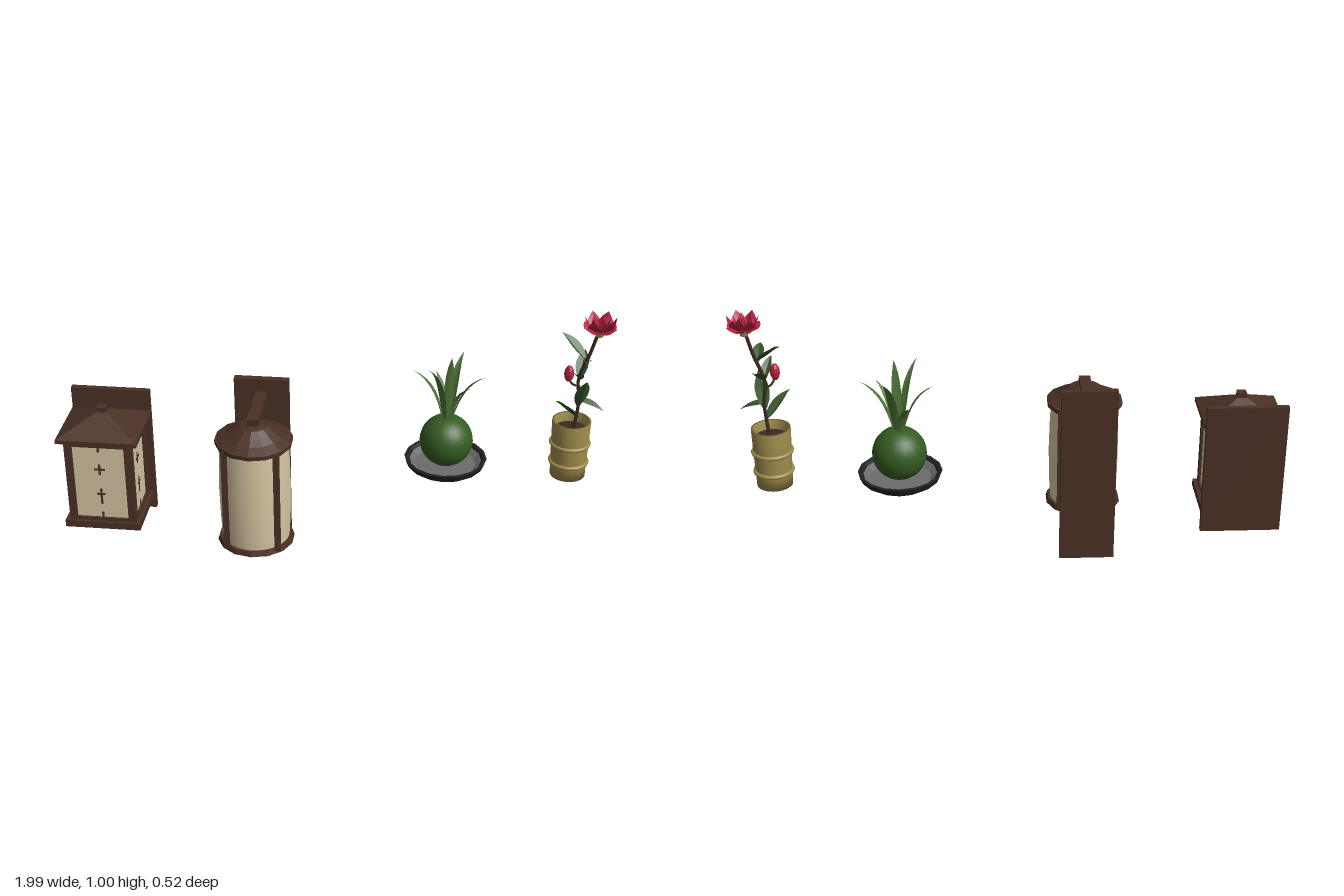
import * as THREE from 'three';

const mat = (name, color, extra = {}) => new THREE.MeshStandardMaterial({ name, color, ...extra });
const D = { side: THREE.DoubleSide };
const F = { flatShading: true };
const M = {
  wood: mat('dark wood', 0x4a3025, F),
  paper: mat('cream paper', 0xd6c6a3),
  black: mat('black glaze', 0x202122, F),
  grey: mat('grey stone', 0x6c6c6c, F),
  moss: mat('moss green', 0x335c20),
  blade: mat('blade green', 0x4c7236, D),
  leaf: mat('leaf green', 0x34562a, { ...D, ...F }),
  bamboo: mat('bamboo tan', 0xa08c4c),
  petal: mat('crimson', 0xb52040, { ...D, ...F }),
  bark: mat('bark brown', 0x3a2a22),
};
const V = (x, y, z) => new THREE.Vector3(x, y, z);

function add(parent, name, geo, material, x = 0, y = 0, z = 0) {
  const m = new THREE.Mesh(geo, material);
  m.name = name;
  m.position.set(x, y, z);
  parent.add(m);
  return m;
}
function group(parent, name, x = 0, z = 0) {
  const g = new THREE.Group();
  g.name = name;
  g.position.set(x, 0, z);
  parent.add(g);
  return g;
}
// box given by its min and max corners
function box(parent, name, material, x0, x1, y0, y1, z0, z1) {
  return add(parent, name, new THREE.BoxGeometry(x1 - x0, y1 - y0, z1 - z0), material,
    (x0 + x1) / 2, (y0 + y1) / 2, (z0 + z1) / 2);
}
const lathe = (pts, n) => new THREE.LatheGeometry(pts.map(p => new THREE.Vector2(...p)), n);

// folded leaf swept along a curve from base to tip
function leaf(parent, name, material, base, ctrl, tip, width, fold = 0.25, peak = 0.8) {
  const curve = new THREE.QuadraticBezierCurve3(base, ctrl, tip);
  const flat = V(tip.x - base.x, 0, tip.z - base.z).normalize();
  const side = V(-flat.z, 0, flat.x);
  const n = 7, pos = [], idx = [];
  for (let i = 0; i <= n; i++) {
    const t = i / n, c = curve.getPoint(t);
    const w = width * Math.max(0.02, Math.sin(Math.PI * Math.pow(0.06 + 0.94 * t, peak)));
    const normal = V().crossVectors(curve.getTangent(t), side).normalize();
    for (const s of [-1, 0, 1]) {
      const p = c.clone().addScaledVector(side, s * w / 2);
      if (s === 0) p.addScaledVector(normal, w * fold);
      pos.push(p.x, p.y, p.z);
    }
    if (i < n) for (const k of [0, 1]) {
      const a = i * 3 + k;
      idx.push(a, a + 1, a + 3, a + 1, a + 4, a + 3);
    }
  }
  const g = new THREE.BufferGeometry();
  g.setAttribute('position', new THREE.Float32BufferAttribute(pos, 3));
  g.setIndex(idx);
  g.computeVertexNormals();
  return add(parent, name, g, material);
}

function squareLantern(root) {
  const g = group(root, 'squareLantern', -0.848, 0.04);
  box(g, 'backPlate', M.wood, -0.149, 0.149, 0.105, 0.615, -0.147, -0.125);
  // paper box and corner frame
  box(g, 'paperPanels', M.paper, -0.118, 0.118, 0.17, 0.51, -0.125, 0.102);
  for (const s of [-1, 1]) {
    for (const [z0, z1] of [[-0.125, -0.09], [0.08, 0.11]])
      box(g, 'cornerPost', M.wood, Math.min(s * 0.097, s * 0.126), Math.max(s * 0.097, s * 0.126), 0.17, 0.52, z0, z1);
  }
  box(g, 'topBeam', M.wood, -0.126, 0.126, 0.495, 0.52, -0.125, 0.11);
  box(g, 'bottomBeam', M.wood, -0.126, 0.126, 0.17, 0.195, -0.125, 0.11);
  box(g, 'base', M.wood, -0.142, 0.142, 0.155, 0.182, -0.125, 0.122);
  // small lattice marks on the front and both sides
  for (const turn of [-1, 0, 1]) {
    const marks = group(g, 'latticeMarks');
    marks.rotation.y = turn * Math.PI / 2;
    const d = turn ? 0.118 : 0.102;
    for (const [y, h] of [[0.485, 0.022], [0.4, 0.045], [0.285, 0.065], [0.205, 0.025]])
      box(marks, 'uprightMark', M.wood, -0.004, 0.004, y - h / 2, y + h / 2, d - 0.002, d + 0.002);
    for (const [y, w] of [[0.4, 0.04], [0.295, 0.03]])
      box(marks, 'crossMark', M.wood, -w / 2, w / 2, y - 0.004, y + 0.004, d - 0.002, d + 0.002);
  }
  // hipped roof with eaves and finial
  box(g, 'eaves', M.wood, -0.15, 0.15, 0.515, 0.53, -0.13, 0.13);
  const roof = new THREE.CylinderGeometry(0.018 * Math.SQRT2, 0.15 * Math.SQRT2, 0.064, 4);
  roof.rotateY(Math.PI / 4).scale(1, 1, 0.13 / 0.15);
  add(g, 'roof', roof, M.wood, 0, 0.562, 0);
  box(g, 'finial', M.wood, -0.017, 0.017, 0.58, 0.612, -0.017, 0.017);
}

function roundLantern(root) {
  const g = group(root, 'roundLantern', -0.274, 0.118);
  box(g, 'backPlate', M.wood, -0.102, 0.102, 0, 0.69, -0.225, -0.198);
  box(g, 'arm', M.wood, -0.021, 0.021, 0.608, 0.641, -0.2, 0.025);
  add(g, 'paperShade', lathe([[0.124, 0.14], [0.129, 0.22], [0.132, 0.35], [0.129, 0.47], [0.125, 0.55]], 32), M.paper);
  for (const sx of [-1, 1]) for (const sz of [-1, 1])
    box(g, 'post', M.wood, sx * 0.094 - 0.011, sx * 0.094 + 0.011, 0.14, 0.55, sz * 0.097 - 0.009, sz * 0.097 + 0.009);
  add(g, 'domeRoof', lathe([[0, 0.54], [0.142, 0.54], [0.143, 0.556], [0.105, 0.574], [0.078, 0.592],
    [0.053, 0.61], [0.03, 0.617], [0, 0.617]], 14), M.wood);
  add(g, 'bottomCap', lathe([[0, 0.115], [0.08, 0.115], [0.143, 0.133], [0.137, 0.151], [0, 0.151]], 14), M.wood);
}

function mossBall(root) {
  const g = group(root, 'mossBallPlant', 0.413, -0.108);
  // shallow dish
  add(g, 'dishSide', lathe([[0.113, 0.345], [0.143, 0.365], [0.154, 0.389], [0.142, 0.39], [0.134, 0.38]], 16), M.black);
  add(g, 'dishInside', lathe([[0.134, 0.38], [0.113, 0.364], [0, 0.364]], 16), M.grey);
  add(g, 'dishFoot', lathe([[0, 0.345], [0.113, 0.345]], 16), M.grey);
  add(g, 'mossBall', new THREE.SphereGeometry(0.099, 24, 16), M.moss, 0, 0.463, 0);
  // arching blades: tip x, tip y, tip z, width
  const blades = [[0.01, 0.815, 0.03, 0.036], [-0.07, 0.795, 0.095, 0.03], [-0.13, 0.735, -0.02, 0.028],
    [0.135, 0.74, 0.02, 0.028], [0.05, 0.78, -0.105, 0.036], [-0.05, 0.69, -0.115, 0.032], [0.08, 0.72, 0.08, 0.03]];
  for (const [x, y, z, w] of blades)
    leaf(g, 'blade', M.blade, V(x * 0.12, 0.545, z * 0.12), V(x * 0.3, 0.545 + (y - 0.545) * 0.8, z * 0.3),
      V(x, y, z), w, 0.2, 0.75);
}

function floweringPot(root) {
  const g = group(root, 'floweringPlant', 0.868, -0.107);
  // bamboo cup with two bands
  add(g, 'cup', lathe([[0, 0.347], [0.065, 0.347], [0.066, 0.4], [0.069, 0.48], [0.071, 0.573],
    [0.062, 0.573], [0.06, 0.53]], 24), M.bamboo);
  for (const [y, r] of [[0.405, 0.067], [0.482, 0.069]]) {
    const ring = add(g, 'band', new THREE.TorusGeometry(r, 0.008, 8, 28), M.bamboo, 0, y, 0);
    ring.rotation.x = Math.PI / 2;
  }
  add(g, 'soil', new THREE.CylinderGeometry(0.061, 0.061, 0.01, 24), M.bark, 0, 0.532, 0);

  const plant = group(g, 'plant', -0.868, 0.107);
  const tube = (name, pts, r) => add(plant, name,
    new THREE.TubeGeometry(new THREE.CatmullRomCurve3(pts.map(p => V(...p))), 16, r, 6), M.bark);
  tube('stem', [[0.875, 0.53, -0.1], [0.886, 0.66, -0.094], [0.878, 0.75, -0.094],
    [0.91, 0.85, -0.094], [0.932, 0.935, -0.092]], 0.0065);
  tube('budTwig', [[0.879, 0.72, -0.094], [0.855, 0.735, -0.085], [0.844, 0.755, -0.077]], 0.004);
  const bud = add(plant, 'bud', new THREE.SphereGeometry(0.018, 8, 6), M.petal, 0.842, 0.778, -0.077);
  bud.scale.y = 1.8;

  // leaves: base, tip, width
  const leaves = [
    [[0.895, 0.835, -0.095], [0.81, 0.905, -0.15], 0.048], [[0.9, 0.825, -0.09], [0.895, 0.858, 0], 0.042],
    [[0.882, 0.755, -0.095], [0.9, 0.822, -0.192], 0.046], [[0.885, 0.6, -0.092], [0.8, 0.688, -0.03], 0.05],
    [[0.885, 0.665, -0.095], [0.977, 0.632, -0.075], 0.042], [[0.885, 0.645, -0.092], [0.905, 0.768, -0.035], 0.052],
    [[0.885, 0.75, -0.095], [0.86, 0.81, -0.005], 0.036],
  ];
  for (const [b, t, w] of leaves) {
    const base = V(...b), tip = V(...t);
    const ctrl = base.clone().lerp(tip, 0.5).add(V(0, 0.025, 0));
    leaf(plant, 'leaf', M.leaf, base, ctrl, tip, w);
  }

  // bloom: tiers of petals opening from a pale calyx
  const bloom = group(plant, 'bloom', 0.937, -0.09);
  add(bloom, 'calyx', new THREE.CylinderGeometry(0.02, 0.014, 0.025, 8), M.bamboo, 0, 0.937, 0);
  const tiers = [[6, 0.063, 0.965, 0.058, 0], [6, 0.056, 1, 0.058, 0.5], [5, 0.032, 0.998, 0.04, 0.2], [3, 0.012, 0.992, 0.025, 0]];
  for (const [n, r, y, w, off] of tiers) for (let i = 0; i < n; i++) {
    const a = (i + off) * 2 * Math.PI / n, c = Math.sin(a), s = Math.cos(a);
    leaf(bloom, 'petal', M.petal, V(c * 0.008, 0.938, s * 0.008), V(c * r * 0.8, 0.95, s * r * 0.8),
      V(c * r, y, s * r), w, -0.12, 1.1);
  }
}

export function createModel() {
  const root = new THREE.Group();
  root.name = 'lanternsAndPlants';
  squareLantern(root);
  roundLantern(root);
  mossBall(root);
  floweringPot(root);
  return root;
}
